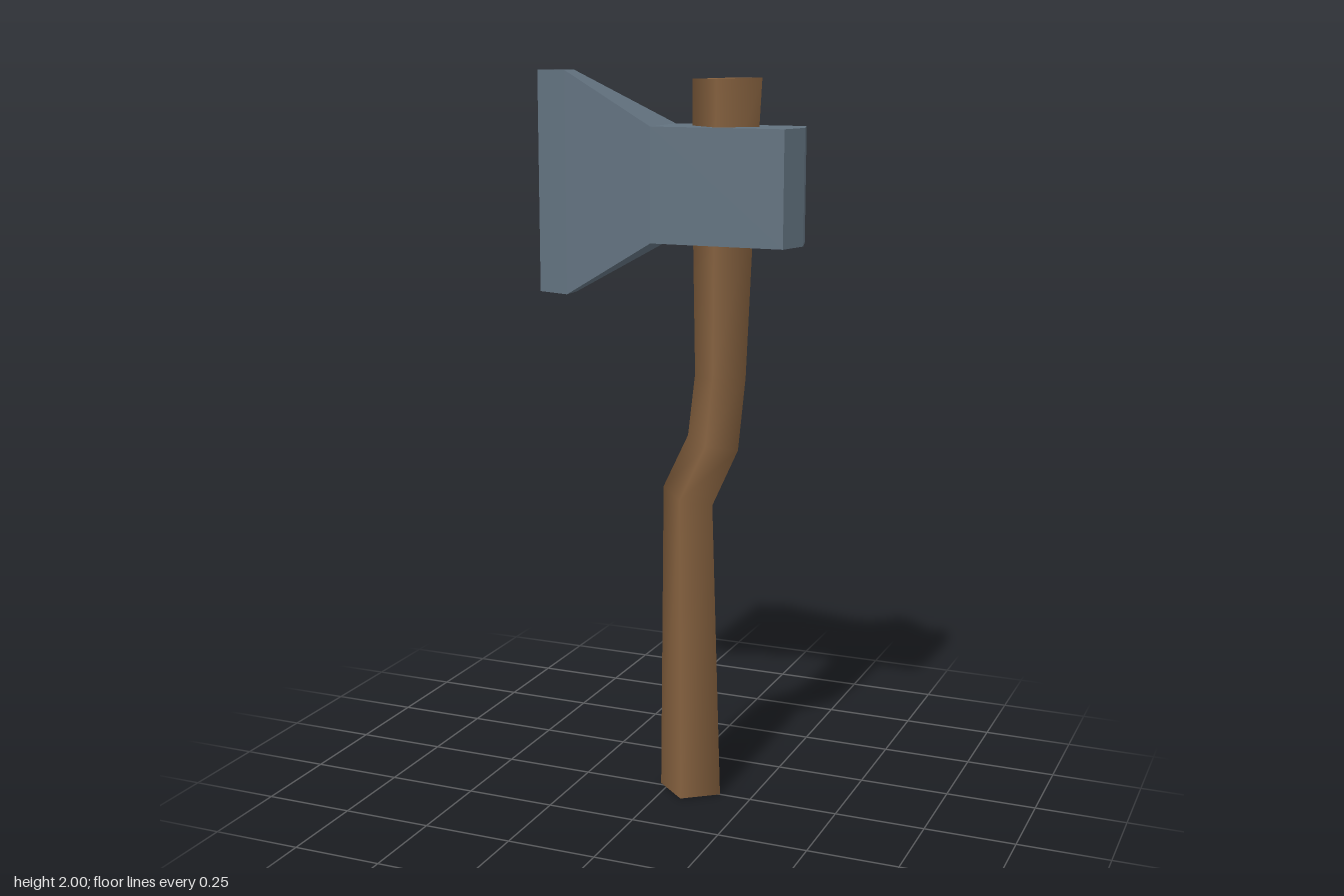
import * as THREE from 'three';

// Skins a list of 4-corner rings (counter-clockwise about the travel direction).
function loft(rings, { caps = false, flat = false } = {}) {
  const points = rings.flat().map((p) => new THREE.Vector3(...p));
  const index = [];
  const tri = new THREE.Triangle();
  const face = (a, b, c) => {
    tri.set(points[a], points[b], points[c]);
    if (tri.getArea() > 1e-7) index.push(a, b, c);
  };
  const quad = (a, b, c, d) => { face(a, b, c); face(a, c, d); };

  for (let r = 0; r < rings.length - 1; r++) {
    for (let i = 0; i < 4; i++) {
      const j = (i + 1) % 4;
      quad(r * 4 + i, r * 4 + j, r * 4 + 4 + j, r * 4 + 4 + i);
    }
  }
  if (caps) {
    // End faces get their own corners so their edges stay sharp
    const n = points.length;
    points.push(...points.slice(0, 4), ...points.slice(n - 4));
    quad(n + 3, n + 2, n + 1, n);
    quad(n + 4, n + 5, n + 6, n + 7);
  }

  let geometry = new THREE.BufferGeometry().setFromPoints(points);
  geometry.setIndex(index);
  if (flat) geometry = geometry.toNonIndexed();
  geometry.computeVertexNormals();
  return geometry;
}

export function createModel() {
  const wood = new THREE.MeshStandardMaterial({ color: 0x84603e });
  wood.name = 'brown wood';
  const steel = new THREE.MeshStandardMaterial({ color: 0x62727f });
  steel.name = 'blue grey steel';

  const group = new THREE.Group();
  group.name = 'axe';
  const add = (name, geometry, material) => {
    const mesh = new THREE.Mesh(geometry, material);
    mesh.name = name;
    group.add(mesh);
  };

  // Bent handle with a diamond section: left x, left y, right x, right y, half depth
  const handleRings = [
    [-0.02, 0.005, 0.16, 0, 0.075],
    [-0.012, 0.88, 0.132, 0.84, 0.06],
    [0.06, 1.03, 0.205, 1.0, 0.058],
    [0.08, 1.2, 0.225, 1.2, 0.058],
    [0.072, 1.62, 0.243, 1.62, 0.066],
    [0.07, 1.98, 0.263, 1.985, 0.077],
  ].map(([lx, ly, rx, ry, d]) => {
    const x = (lx + rx) / 2, y = (ly + ry) / 2;
    return [[x, y, d], [rx, ry, 0], [x, y, -d], [lx, ly, 0]];
  });
  add('handle', loft(handleRings, { caps: true }), wood);

  // Head from cutting edge to butt: x, half depth, bottom y, top y
  const headRings = [
    [-0.38, 0, 1.4, 2],
    [-0.285, 0.03, 1.4, 2],
    [-0.013, 0.088, 1.557, 1.86],
    [0.355, 0.088, 1.557, 1.86],
    [0.38, 0, 1.557, 1.86],
  ].map(([x, d, y0, y1]) => [[x, y1, -d], [x, y1, d], [x, y0, d], [x, y0, -d]]);
  add('axeHead', loft(headRings, { flat: true }), steel);

  return group;
}
